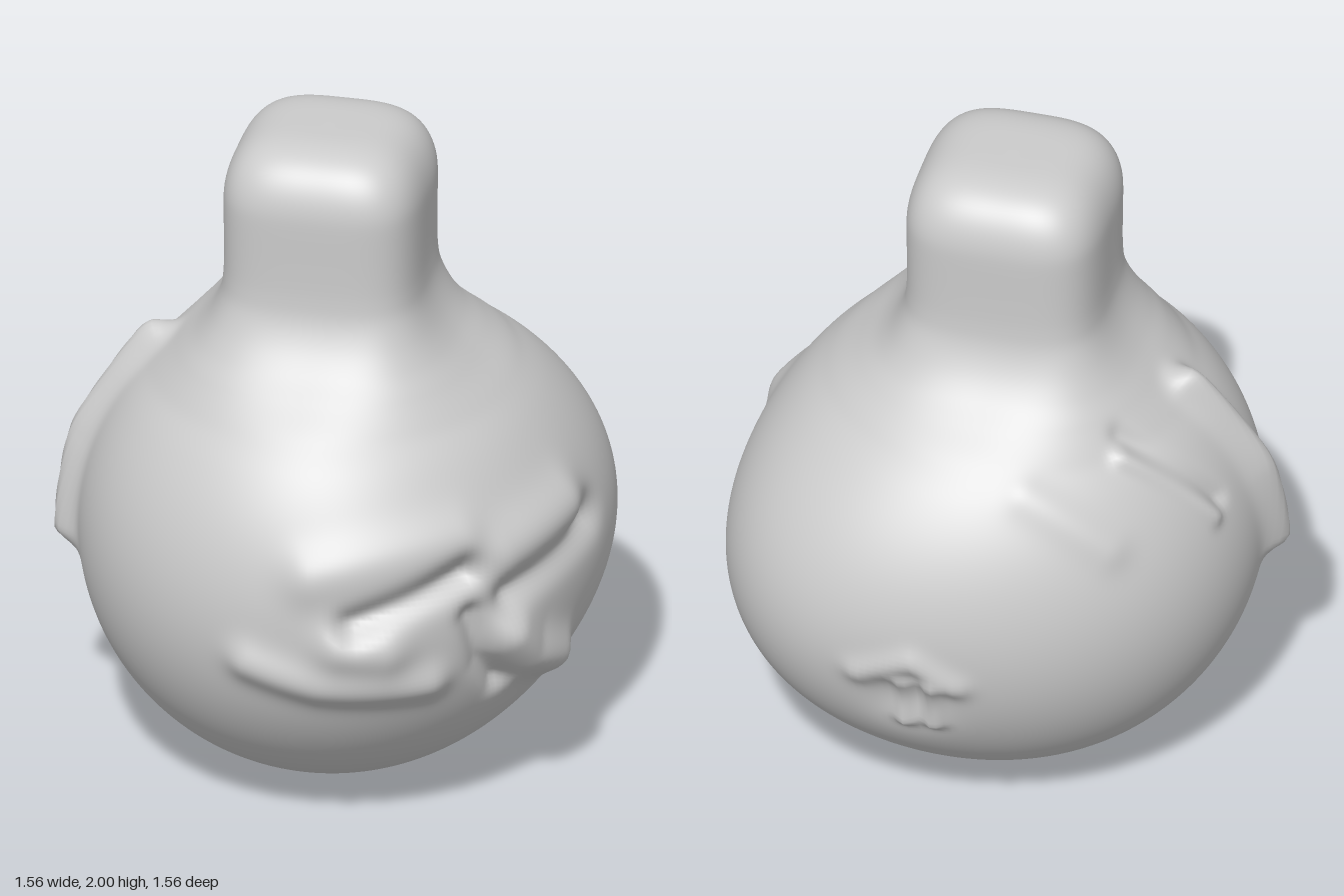
import * as THREE from 'three';
import { mergeVertices } from 'three/addons/utils/BufferGeometryUtils.js';

const V = (x, y, z) => new THREE.Vector3(x, y, z);
const CENTRE = V(-0.02, 0.72, 0.02);
const R = 0.72;
const NECK = 0.288;

// Points on the ball, given by two coordinates on one of its sides
const depth = (a, b) => Math.sqrt(Math.max(0.02, 0.5625 - a * a - (b - 0.72) ** 2));
const front = (x, y) => V(x, y, depth(x, y));
const back = (x, y) => V(x, y, -depth(x, y));
const left = (z, y) => V(depth(z, y), y, z);
const right = (z, y) => V(-depth(z, y), y, z);

// A sculpted stroke: raised or sunk along a path, fading out over its width
const stroke = (height, width, ...path) => ({
  height, width,
  path: path.map((p) => p.sub(CENTRE).setLength(R)),
});

const strokes = [
  // broad bulge and front swelling
  stroke(0.15, 0.5, left(-0.53, 0.69)),
  stroke(0.025, 0.4, front(0.22, 0.74)),
  // brow, crease, lump and lower lip on the front
  stroke(0.03, 0.08, front(0.08, 0.9), front(0.48, 0.97)),
  stroke(-0.055, 0.045, front(0.2, 0.76), front(0.5, 0.87)),
  stroke(0.04, 0.08, front(0.17, 0.69), front(0.28, 0.67)),
  stroke(0.035, 0.06, front(-0.1, 0.62), front(0.1, 0.56), front(0.4, 0.54)),
  // curled lobe, grooves and brow on the left side
  stroke(0.055, 0.07, left(0.42, 0.62), left(0.34, 0.52), left(0.18, 0.45)),
  stroke(-0.045, 0.04, left(0.54, 0.72), left(0.49, 0.56), left(0.4, 0.45)),
  stroke(-0.045, 0.055, left(0.43, 0.76), left(0.02, 0.82)),
  stroke(0.04, 0.09, left(0.42, 0.89), left(0.15, 0.92)),
  // thin raised crest on the right side
  stroke(0.07, 0.05, right(0.02, 1.26), right(0.08, 0.95), right(0.13, 0.68)),
  // scratches behind the crest
  stroke(-0.02, 0.03, right(-0.28, 1.28), right(-0.15, 1.0)),
  stroke(0.022, 0.03, right(-0.33, 1.23), right(-0.2, 0.97)),
  stroke(0.015, 0.06, back(-0.2, 1.2), back(-0.45, 1.03)),
];

// Hollow at the back with finger-like ridges and an upper rim
strokes.push(stroke(-0.05, 0.1, back(0.1, 0.55)));
for (const x of [0.03, 0.11]) strokes.push(stroke(0.035, 0.03, back(x, 0.61), back(x, 0.46)));
strokes.push(stroke(0.025, 0.04, back(0.22, 0.64), back(0.08, 0.7), back(-0.04, 0.62)));

const line = new THREE.Line3();
const near = V(0, 0, 0);
function relief(p) {
  let sum = 0;
  for (const { height, width, path } of strokes) {
    let d = p.distanceTo(path[0]);
    for (let i = 1; i < path.length; i++) {
      line.set(path[i - 1], path[i]).closestPointToPoint(p, true, near);
      d = Math.min(d, p.distanceTo(near));
    }
    sum += height * Math.exp(-((d / width) ** 2));
  }
  return sum;
}

// Profile from the bottom of the ball, through the shoulder, to the domed neck top
function makeProfile() {
  const pts = [];
  for (let i = 0; i <= 14; i++) {
    const a = (i / 14) * 2.36;
    pts.push(V(R * Math.sin(a), CENTRE.y - R * Math.cos(a), 0));
  }
  for (let i = 0; i <= 4; i++) {
    const t = i / 4;
    pts.push(V(NECK + 0.14 * (1 - t) ** 2, 1.31 + 0.26 * t, 0));
  }
  for (let i = 0; i <= 12; i++) {
    const a = (i / 12) * Math.PI / 2;
    const r = i < 12 ? NECK * Math.sqrt(Math.cos(a)) : 0;
    pts.push(V(r, 1.8 + 0.2 * Math.sin(a), 0));
  }
  const curve = new THREE.CatmullRomCurve3(pts);
  curve.arcLengthDivisions = 600;
  return curve;
}

function bodyGeometry() {
  const rings = 200;
  const geo = new THREE.SphereGeometry(1, 240, rings);
  const profile = makeProfile().getSpacedPoints(rings);
  const pos = geo.attributes.position;
  const uv = geo.attributes.uv;
  const p = V(0, 0, 0);
  const dir = V(0, 0, 0);
  for (let i = 0; i < pos.count; i++) {
    const { x: r, y } = profile[Math.round(uv.getY(i) * rings)];
    const a = Math.atan2(pos.getZ(i), pos.getX(i));
    const c = Math.cos(a);
    const s = Math.sin(a);
    // Round sections on the ball turn into rounded squares on the neck
    const n = 2 + 1.5 * THREE.MathUtils.smoothstep(y, 1.2, 1.5);
    const k = r / (Math.abs(c) ** n + Math.abs(s) ** n) ** (1 / n);
    p.set(k * c, y - CENTRE.y, k * s);
    dir.copy(p).normalize();
    const fade = 1 - THREE.MathUtils.smoothstep(y, 1.22, 1.42);
    if (fade > 0) p.addScaledVector(dir, fade * relief(dir.clone().multiplyScalar(R)));
    p.add(CENTRE);
    pos.setXYZ(i, p.x, p.y, p.z);
  }
  // Weld the seam so the shading is continuous
  geo.deleteAttribute('uv');
  geo.deleteAttribute('normal');
  const welded = mergeVertices(geo, 1e-5);
  welded.computeVertexNormals();
  return welded;
}

export function createModel() {
  const group = new THREE.Group();
  group.name = 'sculptedFlask';
  const body = new THREE.Mesh(bodyGeometry(), new THREE.MeshStandardMaterial({ color: 0xcccccc }));
  body.name = 'bodyWithNeck';
  group.add(body);
  return group;
}
